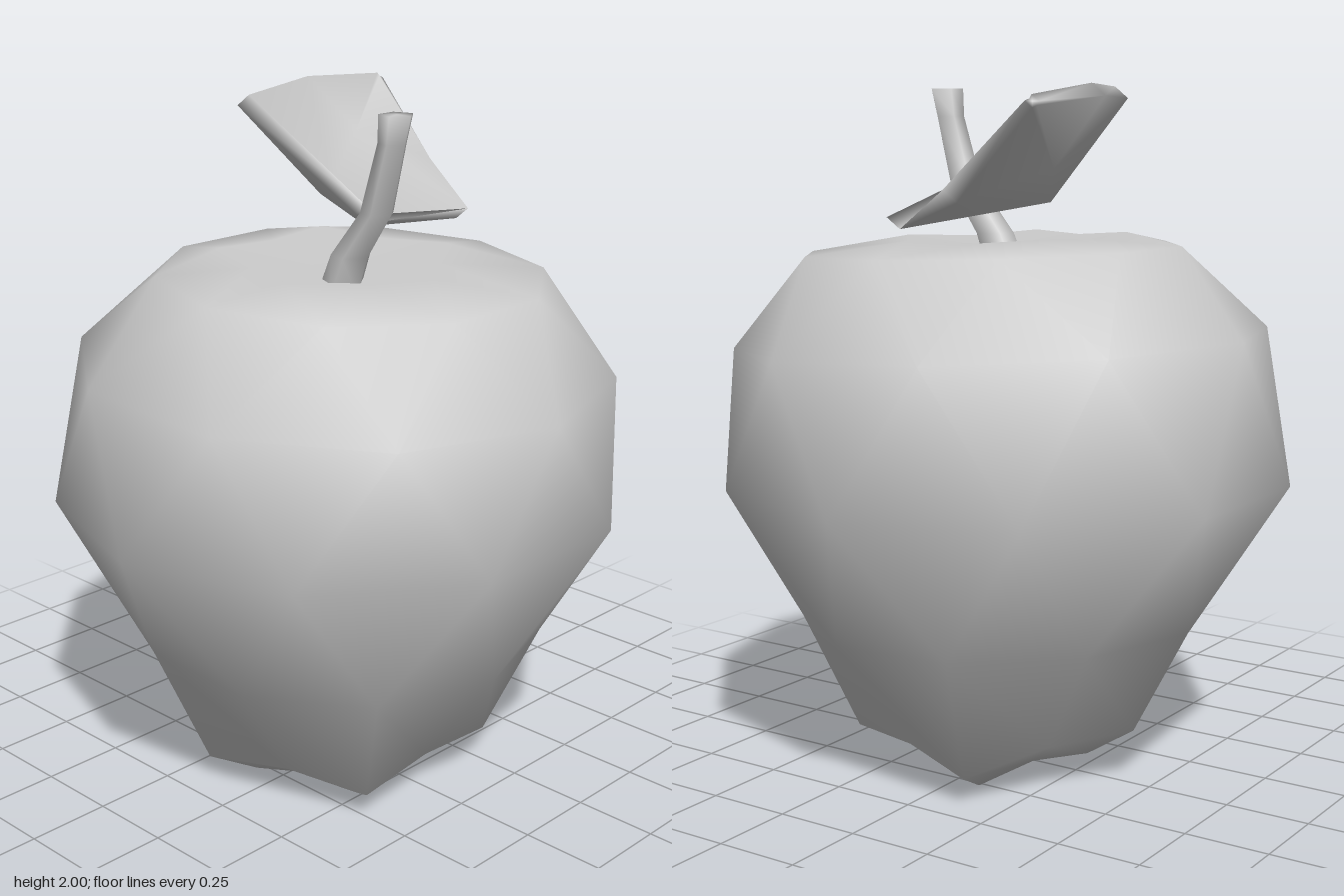
import * as THREE from 'three';
import { mergeVertices } from 'three/addons/utils/BufferGeometryUtils.js';

const material = new THREE.MeshStandardMaterial({ color: 0xcccccc });

// Skin closed rings of [x, y, z] points; a ring shrunk to one point closes an end
function loft(name, rings) {
  const n = rings[0].length;
  const index = [];
  for (let i = 0; i < rings.length - 1; i++) {
    for (let j = 0; j < n; j++) {
      const k = (j + 1) % n;
      const a = i * n + j, b = i * n + k, c = a + n, d = b + n;
      index.push(a, b, c, b, d, c);
    }
  }
  let geometry = new THREE.BufferGeometry();
  geometry.setAttribute('position', new THREE.Float32BufferAttribute(rings.flat(2), 3));
  geometry.setIndex(index);
  geometry = mergeVertices(geometry, 1e-4);
  geometry.computeVertexNormals();
  const mesh = new THREE.Mesh(geometry, material);
  mesh.name = name;
  return mesh;
}

// Ring around the vertical axis, counterclockwise from above; step turns it by half sides
function ring(sides, step, point) {
  return Array.from({ length: sides }, (_, j) => {
    const t = (j + step / 2) / sides * Math.PI * 2;
    return point(Math.cos(t), -Math.sin(t), j);
  });
}

// Five-lobed ring: lobe corners on every other point, flat or sunken sides between
function lobedRing(step, firstLobe, cx, radius, heights, sink) {
  return ring(10, step, (c, s, j) => {
    const k = (j - firstLobe + 10) % 10;
    const here = heights[Math.floor(k / 2)], next = heights[(Math.floor(k / 2) + 1) % 5];
    return k % 2
      ? [cx + radius * 0.8 * c, (here + next) / 2 + sink, radius * 0.8 * s]
      : [cx + radius * c, here, radius * s];
  });
}

// Fruit: lobed foot, staggered ten-sided body, lobed shoulder round the stem hollow
function createFruit() {
  // [step, centre x, height, radius, tilt]
  const body = [
    [0, -0.005, 0.46, 0.612, -0.02],
    [1, 0, 0.88, 0.841, 0],
    [2, 0.015, 1.28, 0.785, -0.035],
    [3, 0.05, 1.538, 0.562, -0.018],
  ].map(([step, cx, y, r, tilt]) =>
    ring(10, step, (c, s) => [cx + r * c, y + tilt * c, r * s]));
  const pole = (x, y) => ring(10, 0, () => [x, y, 0]);
  return loft('fruit', [
    pole(-0.01, 0.14),
    lobedRing(0, 1, 0, 0.29, [0.05, 0.005, 0.06, 0, 0], 0.025),
    lobedRing(0, 1, 0, 0.445, [0.1, 0.08, 0.16, 0.08, 0.08], 0.02),
    ...body,
    lobedRing(4, 0, 0, 0.35, [1.577, 1.588, 1.588, 1.577, 1.57], -0.01),
    pole(0.02, 1.49),
  ]);
}

// Stem: five-sided rings [centre x, height, radius], leaning and flaring at the top
function createStem() {
  const levels = [
    [0, 1.47, 0.065], [0.045, 1.585, 0.06], [0.145, 1.72, 0.05],
    [0.2, 1.92, 0.043], [0.213, 2, 0.051], [0.213, 2, 0],
  ];
  return loft('stem', levels.map(([x, y, r]) =>
    ring(5, 0, (c, s) => [x + r * c, y, r * s])));
}

// Leaf: cupped cross-sections [outer edge, midrib, inner edge, thickness factor]
function createLeaf() {
  const sections = [
    [[0.12, 1.74, 0.02], [0.12, 1.7, -0.02], [0.14, 1.71, -0.06], 0.8],
    [[-0.35, 2, 0.02], [-0.25, 1.72, -0.22], [0.06, 1.65, -0.49], 1],
    [[-0.52, 2, -0.39], [-0.48, 1.82, -0.57], [-0.27, 1.735, -0.69], 1],
    [[-0.605, 1.965, -0.8], [-0.605, 1.955, -0.81], [-0.595, 1.95, -0.815], 0.5],
  ];
  const under = [-0.032, -0.032, 0.016];
  const rings = sections.map(([outer, rib, inner, f]) => [
    outer, rib, inner,
    ...[inner, rib, outer].map((p) => p.map((v, i) => v + under[i] * f)),
  ]);
  // Close both ends at their middle
  const cap = (r) => r.map(() => [0, 1, 2].map((i) => r.reduce((sum, p) => sum + p[i], 0) / r.length));
  return loft('leaf', [cap(rings[0]), ...rings, cap(rings[rings.length - 1])]);
}

export function createModel() {
  const model = new THREE.Group();
  model.name = 'apple';
  model.add(createFruit(), createStem(), createLeaf());
  return model;
}
